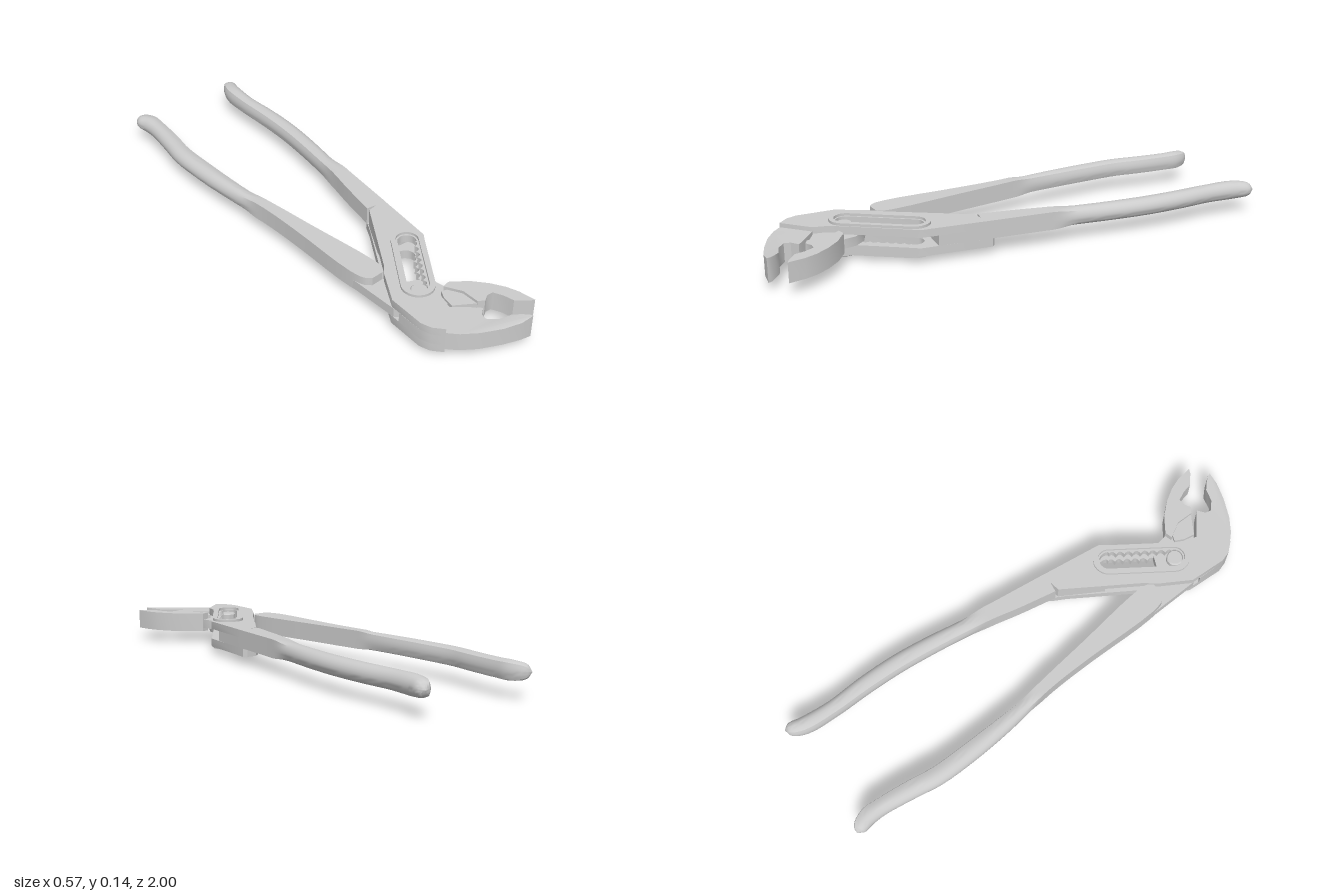
import * as THREE from 'three';
import { toCreasedNormals } from 'three/addons/utils/BufferGeometryUtils.js';

const material = new THREE.MeshStandardMaterial({ color: 0xcccccc });
const MID_Y = 0.099;

// Slot runs between these two centres (x, z)
const SLOT_A = new THREE.Vector2(0.123, 0.427);
const SLOT_B = new THREE.Vector2(-0.01, 0.653);

function add(parent, name, geometry, crease = 0.6) {
  const mesh = new THREE.Mesh(toCreasedNormals(geometry, crease), material);
  mesh.name = name;
  parent.add(mesh);
  return mesh;
}

const toVectors = (list) => list.map(([x, z]) => new THREE.Vector2(x, z));

// Horizontal slab from an (x, z) outline, between two heights
function slab(outline, y0, y1, holes = []) {
  const shape = new THREE.Shape(outline);
  shape.holes = holes.map((h) => new THREE.Path(h));
  const g = new THREE.ExtrudeGeometry(shape, { depth: y1 - y0, bevelEnabled: false });
  return g.rotateX(Math.PI / 2).translate(0, y1, 0);
}

// Long round-ended outline around the slot, optionally notched along one side
function slotOutline(radius, notches = 0) {
  const dir = SLOT_B.clone().sub(SLOT_A);
  const base = Math.atan2(dir.y, dir.x);
  const points = [];
  const arc = (c, from) => {
    for (let i = 0; i <= 14; i++) {
      const a = from + (i / 14) * Math.PI;
      points.push(new THREE.Vector2(c.x + radius * Math.cos(a), c.y + radius * Math.sin(a)));
    }
  };
  arc(SLOT_B, base - Math.PI / 2);
  arc(SLOT_A, base + Math.PI / 2);
  const side = base - Math.PI / 2;
  for (let i = 1; i < notches * 6; i++) {
    const t = i / (notches * 6);
    const r = radius - 0.012 * (1 - Math.abs(Math.sin(t * notches * Math.PI)));
    points.push(SLOT_A.clone().addScaledVector(dir, t)
      .add(new THREE.Vector2(Math.cos(side) * r, Math.sin(side) * r)));
  }
  return points;
}

// Loft along stations [x, z, halfWidth, halfHeight, roundness]; one side stays flatter
function handle(stations, flatSide) {
  const path = new THREE.CatmullRomCurve3(stations.map((s) => new THREE.Vector3(s[0], s[2], s[1])));
  const form = new THREE.CatmullRomCurve3(stations.map((s) => new THREE.Vector3(s[3], s[4], s[1])));
  const steps = (stations.length - 1) * 4, sides = 24;
  const pos = [], index = [];
  for (let i = 0; i <= steps + 1; i++) {
    const t = Math.min(i, steps) / steps;
    const shrink = i > steps ? 0 : 1;
    const p = path.getPoint(t), f = form.getPoint(t), d = path.getTangent(t);
    const len = Math.hypot(d.x, d.z);
    const w = Math.max(p.y, 0) * shrink, h = Math.max(f.x, 0) * shrink;
    const round = THREE.MathUtils.clamp(f.y, 0, 1);
    for (let j = 0; j < sides; j++) {
      const a = (j / sides) * Math.PI * 2;
      const c = Math.cos(a), s = Math.sin(a);
      const r = c * flatSide > 0.01 ? round * 0.65 : round;
      const k = THREE.MathUtils.lerp(1 / Math.max(Math.abs(c), Math.abs(s)), 1, r);
      pos.push(p.x + (d.z / len) * c * k * w, MID_Y + s * k * h, p.z - (d.x / len) * c * k * w);
    }
  }
  for (let i = 0; i <= steps; i++) {
    for (let j = 0; j < sides; j++) {
      const a = i * sides + j, b = i * sides + ((j + 1) % sides);
      index.push(a, b, a + sides, b, b + sides, a + sides);
    }
  }
  const g = new THREE.BufferGeometry();
  g.setAttribute('position', new THREE.Float32BufferAttribute(pos, 3));
  g.setIndex(index);
  return g;
}

export function createModel() {
  const model = new THREE.Group();
  model.name = 'adjustablePliers';
  const slotted = new THREE.Group();
  slotted.name = 'slottedLever';
  const inner = new THREE.Group();
  inner.name = 'innerLever';
  model.add(slotted, inner);

  // Slotted lever: handle, two plates with a gap, solid head
  add(slotted, 'leftHandle', handle([
    [0.222, -0.997, 0, 0, 1], [0.217, -0.98, 0.024, 0.025, 1], [0.2, -0.925, 0.034, 0.036, 1],
    [0.198, -0.8, 0.033, 0.036, 1], [0.213, -0.65, 0.036, 0.036, 1], [0.22, -0.5, 0.037, 0.036, 1],
    [0.215, -0.35, 0.036, 0.036, 1], [0.203, -0.2, 0.033, 0.036, 0.9], [0.195, -0.1, 0.031, 0.036, 0],
    [0.183, 0.02, 0.037, 0.036, 0], [0.17, 0.18, 0.043, 0.036, 0],
  ], -1));
  const edge = [[0.2, 0.43], [0.178, 0.465], [0.048, 0.685], [0.025, 0.73], [0.015, 0.785],
    [-0.075, 0.885], [-0.11, 0.85], [-0.126, 0.81], [-0.13, 0.66], [-0.065, 0.53], [-0.035, 0.49]];
  const plate = toVectors([[0.213, 0.17], ...edge, [0.127, 0.19]]);
  const lowerPlate = toVectors([[0.214, 0.15], [0.213, 0.17], ...edge,
    [0.11, 0.22], [0.135, 0.165], [0.16, 0.14], [0.2, 0.137]]);
  add(slotted, 'upperPlate', slab(plate, 0.104, 0.135, [slotOutline(0.036, 8)]));
  add(slotted, 'lowerPlate', slab(lowerPlate, 0.03, 0.063, [slotOutline(0.036, 8)]));
  add(slotted, 'neckBlock', slab(toVectors([[0.213, 0.17], [0.203, 0.36], [0.043, 0.36],
    [0.127, 0.19]]), 0.063, 0.104));
  add(slotted, 'headBlock', slab(toVectors([[0.015, 0.785], [-0.075, 0.885], [-0.11, 0.85],
    [-0.126, 0.81], [-0.13, 0.7], [-0.06, 0.745]]), 0.063, 0.104));
  for (const [name, y] of [['upperSlotRim', 0.135], ['lowerSlotRim', 0.02]]) {
    add(slotted, name, slab(slotOutline(0.062), y, y + 0.01, [slotOutline(0.043)]));
  }

  // Outer jaw, thickening toward its tip
  const jaw = slab(toVectors([[0.015, 0.785], [0.1, 0.845], [0.115, 0.86], [0.088, 0.883],
    [0.085, 0.908], [0.12, 0.935], [0.17, 0.945], [0.195, 0.965], [0.215, 0.985], [0.22, 0.998],
    [0.17, 0.998], [0.1, 0.982], [0.02, 0.952], [-0.04, 0.917], [-0.075, 0.885]]), 0.045, 0.118);
  const p = jaw.attributes.position;
  for (let i = 0; i < p.count; i++) {
    const flare = 0.01 * THREE.MathUtils.clamp((p.getX(i) - 0.15) / 0.07, 0, 1);
    p.setY(i, p.getY(i) + (p.getY(i) > 0.08 ? flare : -flare));
  }
  add(slotted, 'outerJaw', jaw);

  // Inner lever: handle, thin tongue through the gap, inner jaw
  add(inner, 'rightHandle', handle([
    [-0.27, -0.963, 0, 0, 1], [-0.26, -0.948, 0.024, 0.025, 1], [-0.238, -0.9, 0.034, 0.036, 1],
    [-0.233, -0.84, 0.033, 0.036, 1], [-0.239, -0.7, 0.036, 0.036, 1], [-0.247, -0.6, 0.037, 0.036, 1],
    [-0.236, -0.45, 0.037, 0.036, 1], [-0.218, -0.3, 0.033, 0.036, 1], [-0.199, -0.18, 0.027, 0.036, 0.9],
    [-0.183, -0.1, 0.023, 0.036, 0], [-0.165, 0, 0.026, 0.036, 0], [-0.143, 0.15, 0.034, 0.036, 0],
    [-0.102, 0.44, 0.053, 0.036, 0], [-0.091, 0.5, 0.045, 0.036, 0], [-0.088, 0.522, 0.026, 0.036, 0],
  ], 1));
  add(inner, 'tongue', slab(toVectors([[-0.155, 0.43], [-0.047, 0.47], [-0.03, 0.56], [0.01, 0.585],
    [0.05, 0.6], [0.085, 0.64], [0.1, 0.7], [0.09, 0.78], [0.035, 0.785], [-0.06, 0.74],
    [-0.13, 0.67]]), 0.065, 0.102));
  add(inner, 'innerJaw', slab(toVectors([[0.07, 0.7], [0.1, 0.69], [0.165, 0.73], [0.215, 0.78],
    [0.25, 0.83], [0.27, 0.875], [0.285, 0.94], [0.265, 0.932], [0.222, 0.9], [0.21, 0.86],
    [0.19, 0.825], [0.165, 0.825], [0.14, 0.842], [0.115, 0.83], [0.11, 0.76]]), 0.05, 0.128));
  add(inner, 'innerJawRoot', slab(toVectors([[0.055, 0.705], [0.09, 0.715], [0.13, 0.77],
    [0.14, 0.842], [0.035, 0.787], [0.04, 0.74]]), 0.056, 0.117));

  // Pivot pin with a shallow conical head underneath
  const pin = add(model, 'pivotPin', new THREE.LatheGeometry(toVectors([[0, 0], [0.044, 0.007],
    [0.046, 0.009], [0.046, 0.02], [0.033, 0.02], [0.033, 0.122], [0.028, 0.127], [0, 0.127]]), 32));
  pin.position.set(-0.008, 0, 0.66);
  return model;
}
